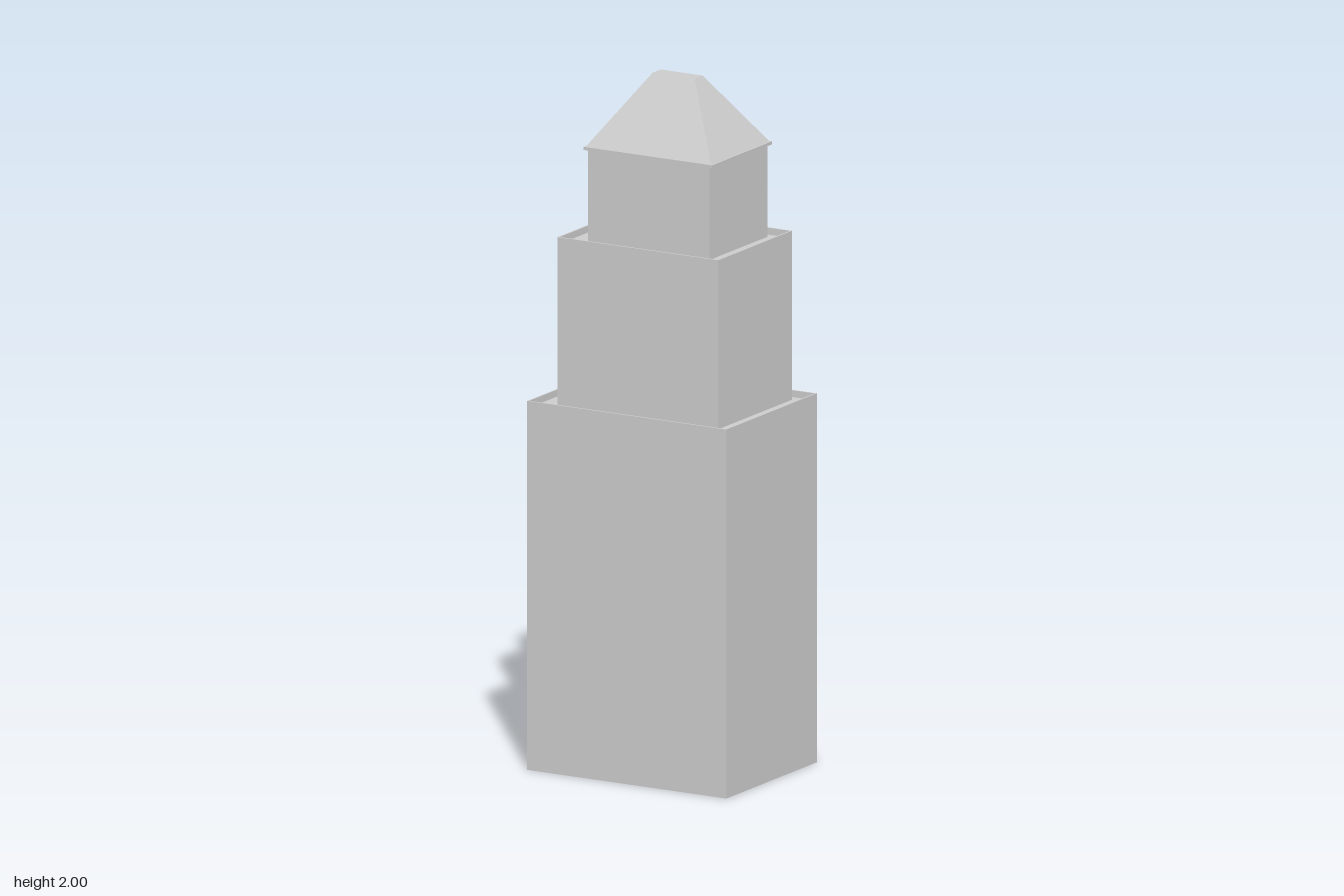
import * as THREE from 'three';

const stone = new THREE.MeshStandardMaterial({ color: 0xcccccc, side: THREE.DoubleSide });
stone.name = 'pale grey stone';

// Skin through rectangular rings [halfWidth, backZ, frontZ, y], closed at the last ring
function rectLoft(name, rings, closeStart = false) {
  const corners = rings.map(([w, b, f, y]) => [[-w, y, f], [w, y, f], [w, y, b], [-w, y, b]]);
  const pos = [];
  const quad = (a, b, c, d) => pos.push(...a, ...b, ...c, ...a, ...c, ...d);
  for (let i = 0; i < corners.length - 1; i++) {
    for (let k = 0; k < 4; k++) {
      const n = (k + 1) % 4;
      quad(corners[i][k], corners[i][n], corners[i + 1][n], corners[i + 1][k]);
    }
  }
  quad(...corners[corners.length - 1]);
  if (closeStart) quad(...[...corners[0]].reverse());
  const geo = new THREE.BufferGeometry();
  geo.setAttribute('position', new THREE.Float32BufferAttribute(pos, 3));
  geo.computeVertexNormals();
  const mesh = new THREE.Mesh(geo, stone);
  mesh.name = name;
  return mesh;
}

// Hollow tier with a thin parapet around a sunken deck
function tier(name, w, back, front, y0, y1) {
  const rim = 0.005, sink = 0.02;
  return rectLoft(name, [
    [w, back, front, y0],
    [w, back, front, y1],
    [w - rim, back + rim, front - rim, y1],
    [w - rim, back + rim, front - rim, y1 - sink],
  ]);
}

export function createModel() {
  const model = new THREE.Group();
  model.name = 'steppedTower';

  model.add(tier('lowerTier', 0.327, -0.248, 0.248, 0, 1.07));
  model.add(tier('middleTier', 0.264, -0.217, 0.187, 1.05, 1.54));
  model.add(rectLoft('upperTier', [
    [0.2, -0.19, 0.127, 1.52],
    [0.2, -0.19, 0.127, 1.79],
  ]));

  // Thin eave ledge with the truncated hip roof on it
  model.add(rectLoft('eave', [
    [0.211, -0.196, 0.133, 1.788],
    [0.211, -0.196, 0.133, 1.797],
  ], true));
  model.add(rectLoft('roof', [
    [0.206, -0.191, 0.129, 1.797],
    [0.069, -0.053, -0.009, 2.0],
  ]));

  // Small bump on the wall of the middle tier
  const bump = new THREE.Mesh(new THREE.SphereGeometry(1, 6, 6), stone);
  bump.name = 'wallBump';
  bump.scale.set(0.007, 0.06, 0.012);
  bump.position.set(-0.264, 1.135, -0.17);
  model.add(bump);

  return model;
}
